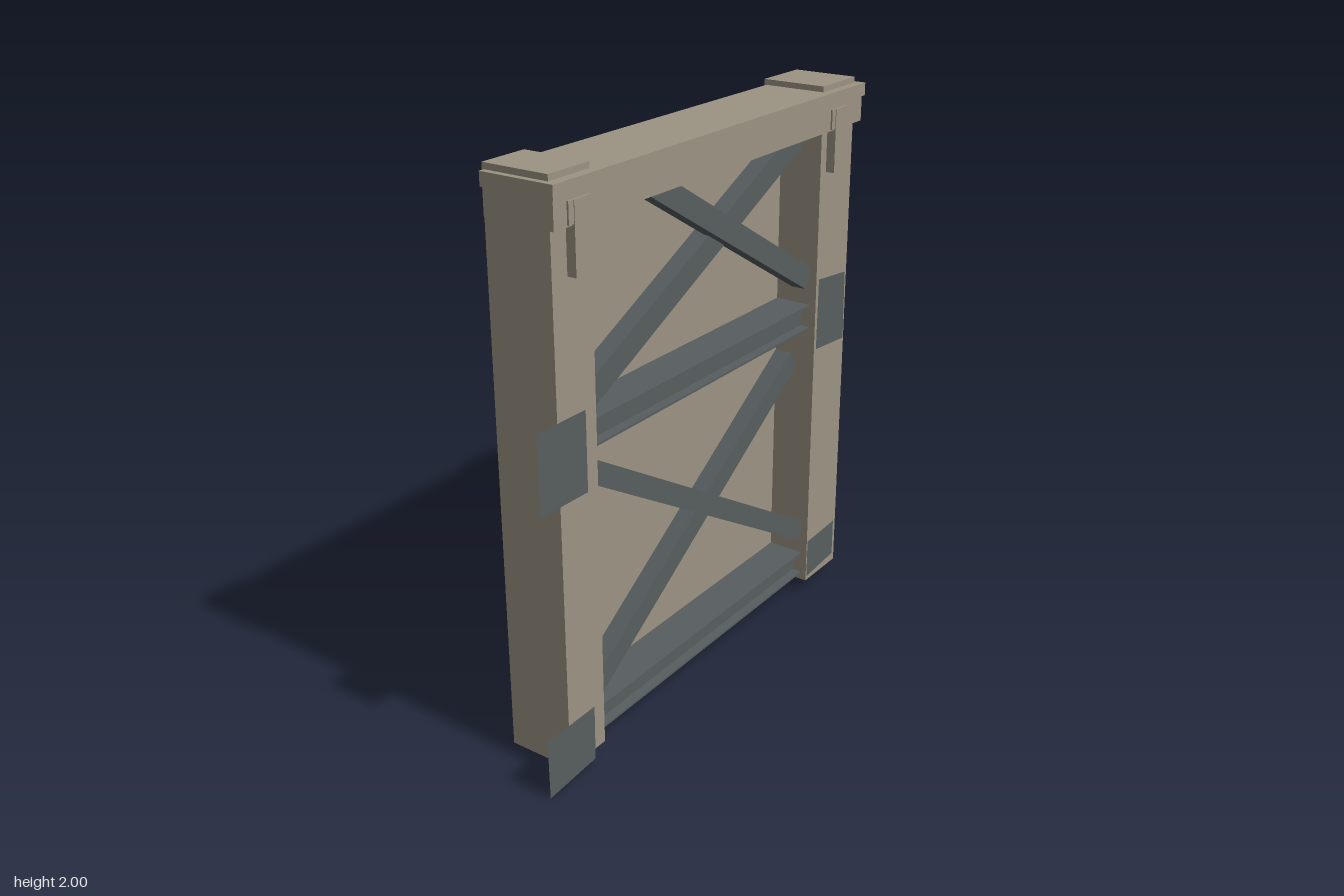
import * as THREE from 'three';

export function createModel() {
  const group = new THREE.Group();
  const stone = new THREE.MeshStandardMaterial({ color: 0x9c9382 });
  stone.name = 'warm stone';
  const steel = new THREE.MeshStandardMaterial({ color: 0x575d5f, side: THREE.DoubleSide });
  steel.name = 'dark steel';

  // Box given by its limits on each axis
  const box = (name, mat, x0, x1, y0, y1, z0, z1) => {
    const mesh = new THREE.Mesh(new THREE.BoxGeometry(x1 - x0, y1 - y0, z1 - z0), mat);
    mesh.position.set((x0 + x1) / 2, (y0 + y1) / 2, (z0 + z1) / 2);
    mesh.name = name;
    group.add(mesh);
    return mesh;
  };

  // Posts and back panel
  box('rightPost', stone, -0.8, -0.62, 0.05, 2, -0.135, 0.105);
  box('leftPost', stone, 0.667, 0.885, 0.05, 2, -0.135, 0.105);
  box('backPanel', stone, -0.62, 0.667, 0.05, 1.85, -0.134, -0.06);

  // Lintel with a slightly wider cap
  box('lintel', stone, -0.813, 0.898, 1.845, 1.94, -0.125, 0.13);
  box('lintelCap', stone, -0.821, 0.905, 1.935, 1.98, -0.127, 0.138);

  // T-shaped brackets hanging from the lintel
  for (const x of [-0.705, 0.732]) {
    box('bracketArm', stone, x - 0.05, x + 0.05, 1.85, 1.92, 0.12, 0.136);
    box('bracketStem', stone, x - 0.027, x + 0.027, 1.693, 1.92, 0.1, 0.138);
  }

  // Horizontal beams: web between two flanges
  for (const y of [0.075, 1.107]) {
    box('beamWeb', steel, -0.62, 0.667, y + 0.008, y + 0.086, -0.06, 0.045);
    for (const dy of [0, 0.086])
      box('beamFlange', steel, -0.62, 0.667, y + dy, y + dy + 0.008, -0.06, 0.08);
  }

  // Crossed braces: [x0, y0, x1, y1, width, back z, front z]
  const braces = [
    [-0.61, 1.225, 0.637, 1.823, 0.09, -0.03, 0.035],
    [-0.29, 1.862, 0.655, 1.305, 0.08, 0.02, 0.08],
    [-0.585, 0.185, 0.64, 0.985, 0.08, -0.03, 0.035],
    [-0.63, 1.04, 0.66, 0.268, 0.075, 0.02, 0.08],
  ];
  for (const [x0, y0, x1, y1, w, z0, z1] of braces) {
    const len = Math.hypot(x1 - x0, y1 - y0);
    const cx = (x0 + x1) / 2, cy = (y0 + y1) / 2;
    const brace = box('brace', steel, cx - len / 2, cx + len / 2, cy - w / 2, cy + w / 2, z0, z1);
    brace.rotation.z = Math.atan2(y1 - y0, x1 - x0);
  }

  // Uneven thin plates on the post fronts
  const plates = [
    [[-0.895, 0.997], [-0.673, 0.993], [-0.673, 1.265], [-0.897, 1.267]],
    [[0.676, 1.03], [0.876, 1.015], [0.87, 1.28], [0.68, 1.3]],
    [[-0.905, 0], [-0.675, 0.015], [-0.673, 0.217], [-0.908, 0.217]],
    [[0.667, 0.07], [0.865, 0.085], [0.865, 0.233], [0.668, 0.225]],
  ];
  for (const pts of plates) {
    const shape = new THREE.Shape(pts.map(([x, y]) => new THREE.Vector2(x, y)));
    const plate = new THREE.Mesh(new THREE.ShapeGeometry(shape), steel);
    plate.position.z = 0.108;
    plate.name = 'plate';
    group.add(plate);
  }
  return group;
}
